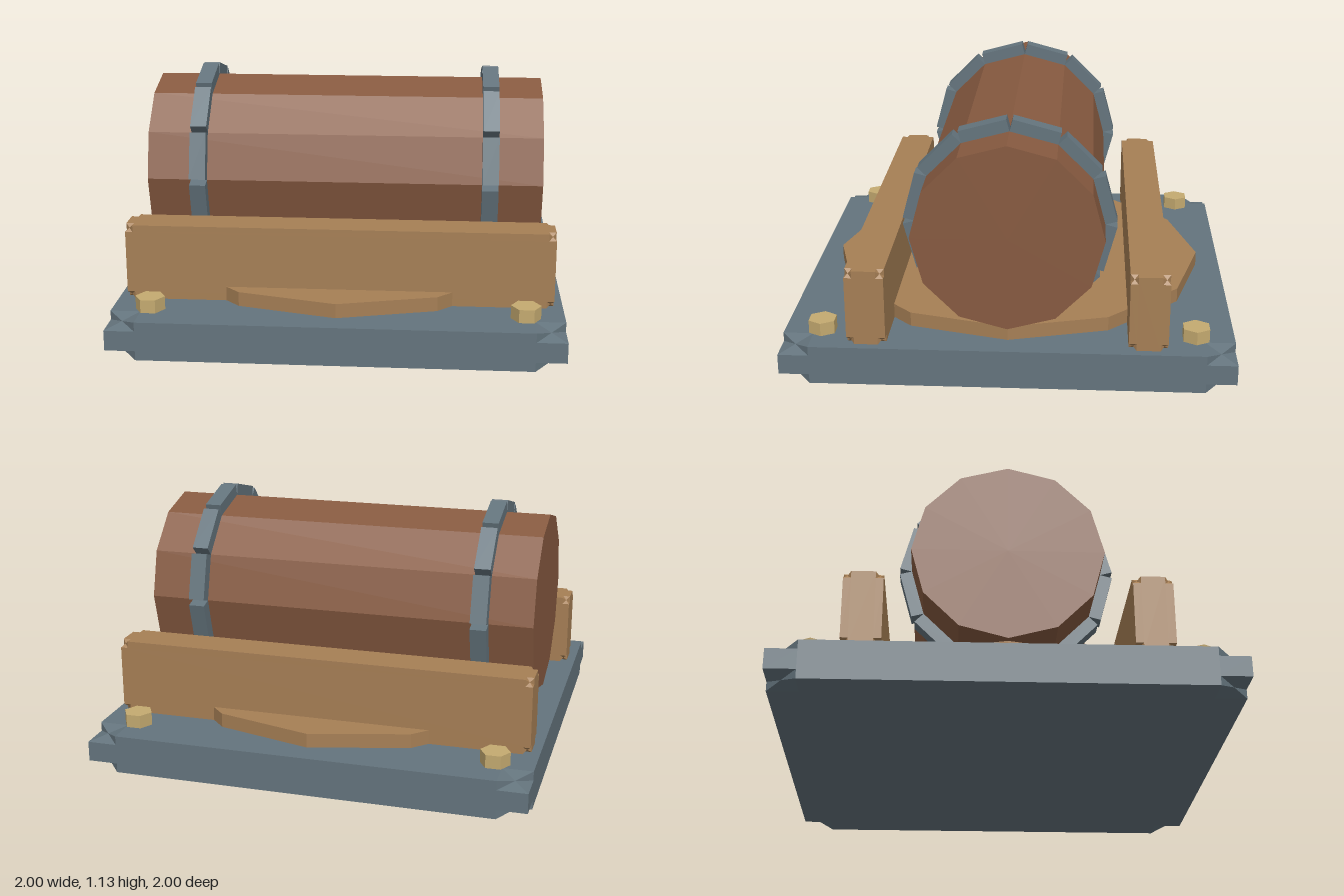
import * as THREE from 'three';

const mat = (color, side = THREE.FrontSide) =>
  new THREE.MeshStandardMaterial({ color, flatShading: true, side });

// Box whose eight corners are dented inwards; size and notch are [x, y, z].
function notchedBox(size, notch) {
  const outer = size.map((s) => s / 2);
  const inner = outer.map((o, i) => o - notch[i]);
  const pos = [];
  const tri = (a, b, c, flip) => pos.push(...a, ...(flip ? c : b), ...(flip ? b : c));

  // Six cross-shaped faces, three rectangles each
  for (let a = 0; a < 3; a++) {
    const b = (a + 1) % 3, c = (a + 2) % 3;
    for (const s of [-1, 1]) {
      const rect = (u0, u1, v0, v1) => {
        const [p, q, r, t] = [[u0, v0], [u1, v0], [u1, v1], [u0, v1]].map(([u, v]) => {
          const point = [0, 0, 0];
          point[a] = s * outer[a];
          point[b] = u;
          point[c] = v;
          return point;
        });
        tri(p, q, r, s < 0);
        tri(p, r, t, s < 0);
      };
      rect(-outer[b], outer[b], -inner[c], inner[c]);
      rect(-inner[b], inner[b], inner[c], outer[c]);
      rect(-inner[b], inner[b], -outer[c], -inner[c]);
    }
  }

  // Each corner is a fan from its centre to a six-point rim
  const rim = [[1, 0, 0], [1, 1, 0], [0, 1, 0], [0, 1, 1], [0, 0, 1], [1, 0, 1]];
  for (const sx of [-1, 1]) for (const sy of [-1, 1]) for (const sz of [-1, 1]) {
    const sign = [sx, sy, sz];
    const at = (k) => k.map((t, i) => sign[i] * (inner[i] + t * notch[i]));
    const centre = at([0.5, 0.5, 0.5]);
    rim.forEach((k, i) => tri(centre, at(k), at(rim[(i + 1) % 6]), sx * sy * sz < 0));
  }

  const geometry = new THREE.BufferGeometry();
  geometry.setAttribute('position', new THREE.Float32BufferAttribute(pos, 3));
  geometry.computeVertexNormals();
  return geometry;
}

export function createModel() {
  const model = new THREE.Group();
  const steel = mat(0x64747d);
  const timber = mat(0xa67f55);
  const barrelWood = mat(0x875a40);
  const brass = mat(0xc4aa70);

  const add = (name, geometry, material, x, y, z, parent = model) => {
    const mesh = new THREE.Mesh(geometry, material);
    mesh.name = name;
    mesh.position.set(x, y, z);
    parent.add(mesh);
    return mesh;
  };

  // Base plate and the twelve-sided turntable on it
  add('basePlate', notchedBox([2, 0.175, 2], [0.135, 0.042, 0.135]), steel, 0, 0.0875, 0);
  add('turntable', new THREE.CylinderGeometry(0.885, 0.885, 0.065, 12), timber, 0, 0.2075, 0);

  // Side beams
  const beam = notchedBox([1.92, 0.345, 0.172], [0.034, 0.032, 0.034]);
  add('frontBeam', beam, timber, 0, 0.3475, 0.615);
  add('backBeam', beam, timber, 0, 0.3475, -0.615);

  // Hexagonal bolts near the corners
  const bolt = new THREE.CylinderGeometry(0.066, 0.066, 0.06, 6, 1, false, Math.PI / 6);
  for (const x of [-0.828, 0.828]) {
    for (const z of [-0.828, 0.828]) add('bolt', bolt, brass, x, 0.205, z);
  }

  // Barrel lying along x
  const radius = 0.42, axisY = 0.66, sides = 12;
  const barrel = new THREE.CylinderGeometry(radius, radius, 1.825, sides);
  barrel.rotateZ(Math.PI / 2);
  add('barrel', barrel, barrelWood, 0, axisY, 0);

  // Two bands, one flat plate per barrel side
  const apothem = radius * Math.cos(Math.PI / sides);
  const plate = new THREE.BoxGeometry(0.075, 0.055, 2 * radius * Math.sin(Math.PI / sides));
  plate.translate(0, apothem + 0.0275, 0);
  for (const x of [-0.672, 0.672]) {
    const band = new THREE.Group();
    band.name = 'band';
    band.position.set(x, axisY, 0);
    for (let i = 0; i < sides; i++) {
      add('bandPlate', plate, steel, 0, 0, 0, band).rotation.x = ((i + 0.5) / sides) * Math.PI * 2;
    }
    model.add(band);
  }

  return model;
}
